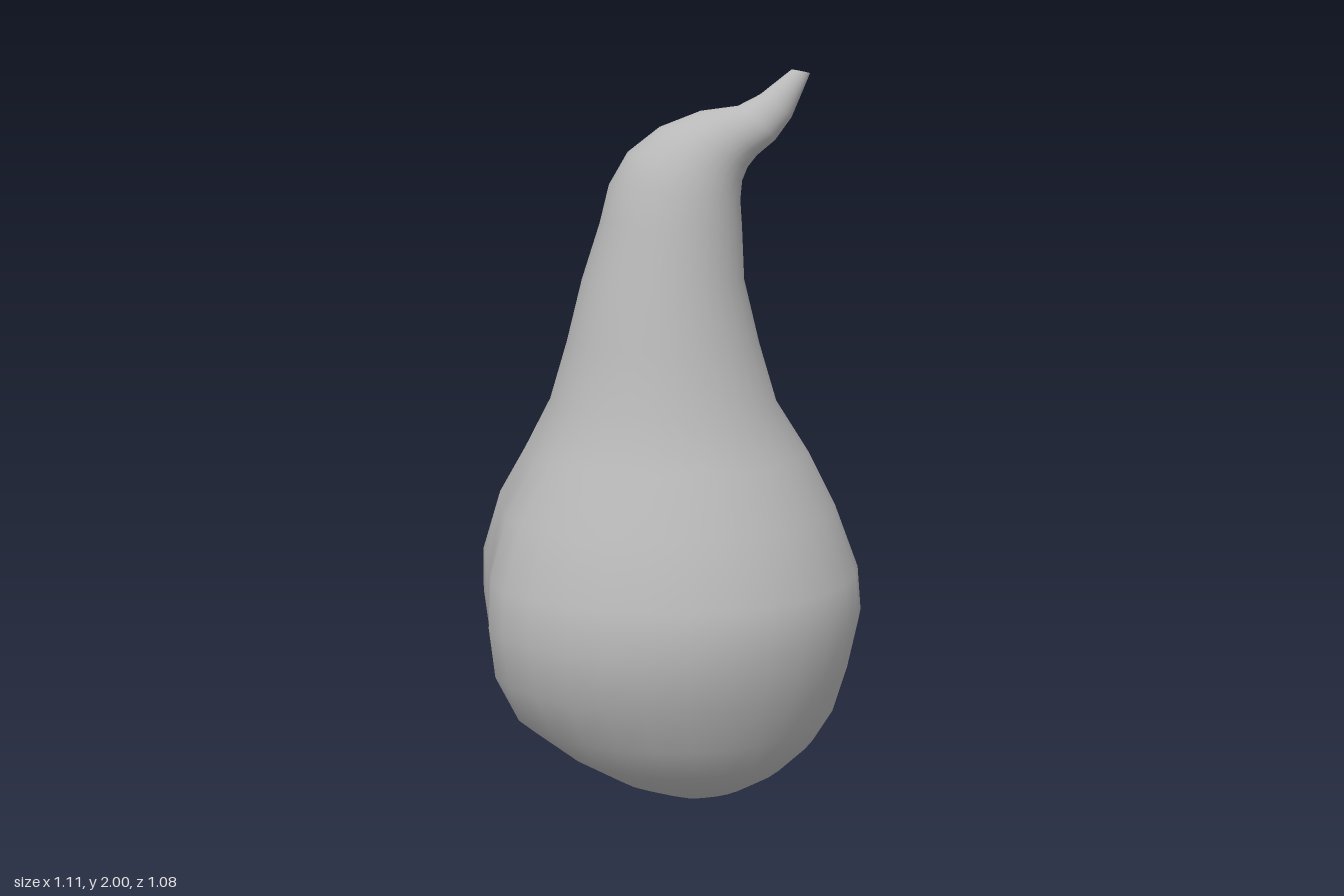
import * as THREE from 'three';

const SEGMENTS = 32;
const STEM_ANGLE = Math.atan2(-0.53, 0.848); // heading of the bent stem
const along = new THREE.Vector3(0.848, 0, -0.53);
const across = new THREE.Vector3(0.53, 0, 0.848);

// Body outline: y, left and right x, back and front z
const BODY = [
  [0.005, 0.03, 0.17, -0.12, 0.06], [0.04, -0.05, 0.26, -0.22, 0.14],
  [0.1, -0.15, 0.35, -0.32, 0.27], [0.18, -0.3, 0.43, -0.41, 0.38],
  [0.27, -0.47, 0.485, -0.465, 0.45], [0.4, -0.54, 0.525, -0.515, 0.515],
  [0.54, -0.56, 0.555, -0.535, 0.54], [0.66, -0.56, 0.545, -0.52, 0.52],
  [0.83, -0.5, 0.475, -0.475, 0.46], [0.98, -0.4, 0.4, -0.39, 0.38],
  [1.12, -0.305, 0.32, -0.29, 0.325], [1.28, -0.245, 0.278, -0.228, 0.29],
  [1.45, -0.2, 0.235, -0.19, 0.25],
];
// Bent head and stem: outer side (distance, y), inner side (distance, y), half width, sideways shift
const HEAD = [
  [-0.17, 1.6, 0.21, 1.59, 0.19, 0.035], [-0.145, 1.7, 0.205, 1.66, 0.175, 0.035],
  [-0.095, 1.785, 0.21, 1.71, 0.15, 0.033], [-0.01, 1.85, 0.225, 1.745, 0.125, 0.03],
  [0.1, 1.892, 0.25, 1.775, 0.093, 0.025], [0.2, 1.905, 0.3, 1.815, 0.06, 0.018],
  [0.26, 1.935, 0.345, 1.875, 0.043, 0.01], [0.345, 2.0, 0.395, 1.99, 0.022, 0],
];

// Bump or dent that fades with angular distance from its centre
function fade(angle, centre, width) {
  const d = Math.atan2(Math.sin(angle - centre), Math.cos(angle - centre));
  return Math.exp(-((d / width) ** 2));
}

function bodyRing([y, x0, x1, z0, z1]) {
  const height = Math.exp(-(((y - 0.55) / 0.42) ** 2));
  return (a) => {
    const dent = 1 - height * (0.15 * fade(a, 2.55, 0.36) - 0.05 * fade(a, -2.3, 0.45));
    return new THREE.Vector3(
      (x0 + x1) / 2 + ((x1 - x0) / 2) * Math.cos(a) * dent, y,
      (z0 + z1) / 2 + ((z1 - z0) / 2) * Math.sin(a) * dent);
  };
}

function headRing([s0, y0, s1, y1, width, shift]) {
  return (a) => {
    const c = Math.cos(a - STEM_ANGLE), s = Math.sin(a - STEM_ANGLE);
    const p = along.clone().multiplyScalar((s0 + s1) / 2 + ((s1 - s0) / 2) * c);
    p.addScaledVector(across, shift + width * s);
    p.y = (y0 + y1) / 2 + ((y1 - y0) / 2) * c;
    return p;
  };
}

// Closed skin through all rings, with a point at each end
function loft(rings) {
  const points = [], index = [];
  for (const ring of rings)
    for (let i = 0; i < SEGMENTS; i++) points.push(ring((i / SEGMENTS) * Math.PI * 2));
  const last = (rings.length - 1) * SEGMENTS;
  const middle = (start) => {
    const m = new THREE.Vector3();
    for (let i = 0; i < SEGMENTS; i++) m.addScaledVector(points[start + i], 1 / SEGMENTS);
    return m;
  };
  const bottom = points.length, top = bottom + 1;
  points.push(middle(0).setY(0), middle(last));
  for (let i = 0; i < SEGMENTS; i++) {
    const j = (i + 1) % SEGMENTS;
    for (let r = 0; r < last; r += SEGMENTS)
      index.push(r + i, r + SEGMENTS + i, r + j, r + j, r + SEGMENTS + i, r + SEGMENTS + j);
    index.push(bottom, i, j, top, last + j, last + i);
  }
  const geometry = new THREE.BufferGeometry().setFromPoints(points);
  geometry.setIndex(index);
  geometry.computeVertexNormals();
  return geometry;
}

export function createModel() {
  const group = new THREE.Group();
  group.name = 'gourd';
  const grey = new THREE.MeshStandardMaterial({ color: 0xb8b8b8 });
  grey.name = 'grey skin';
  const skin = new THREE.Mesh(loft([...BODY.map(bodyRing), ...HEAD.map(headRing)]), grey);
  skin.name = 'gourdBodyAndStem';
  group.add(skin);
  return group;
}
